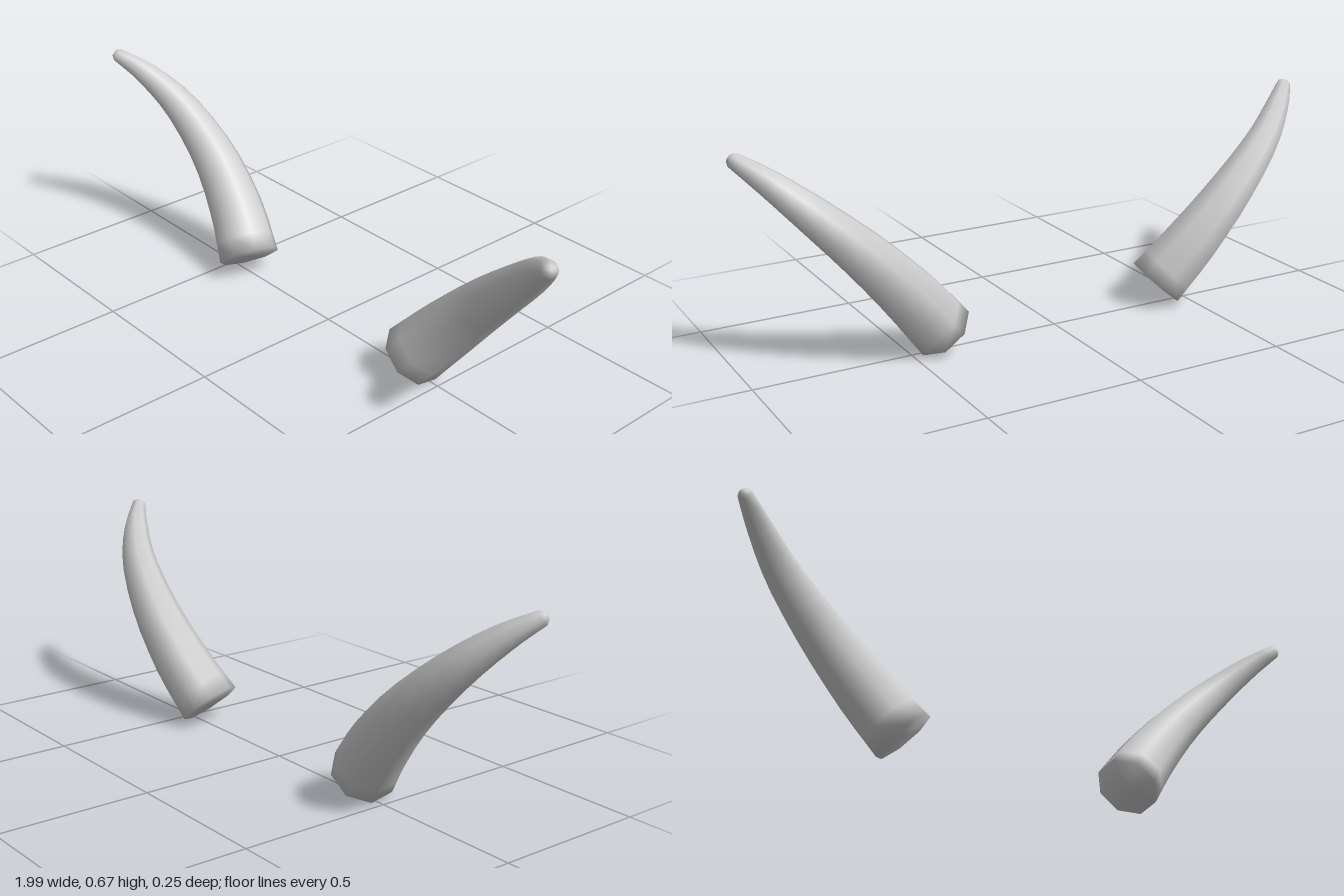
import * as THREE from 'three';

const SIDES = 8;
const RINGS = 14;

// Spine of the left horn: x, y, z, radius
const SPINE = [
  [0.398, 0.070, 0.010, 0.103],
  [0.505, 0.198, -0.025, 0.094],
  [0.645, 0.352, -0.038, 0.078],
  [0.798, 0.502, -0.008, 0.058],
  [0.905, 0.600, 0.052, 0.040],
  [0.976, 0.656, 0.109, 0.024],
];

// Tapered curved horn with closed ends; side is +1 (left) or -1 (right)
function hornGeometry(side) {
  const curve = new THREE.CatmullRomCurve3(SPINE.map(([x, y, z]) => new THREE.Vector3(x, y, z)));
  const positions = [];
  const index = [];
  const add = (p) => positions.push(p.x * side, p.y, p.z);
  const face = (a, b, c) => (side > 0 ? index.push(a, b, c) : index.push(a, c, b));

  const addRing = (centre, tangent, radius) => {
    const v = new THREE.Vector3(0, 0, 1).addScaledVector(tangent, -tangent.z).normalize();
    const u = tangent.clone().cross(v);
    for (let j = 0; j < SIDES; j++) {
      const a = THREE.MathUtils.degToRad(-17) + (j / SIDES) * Math.PI * 2;
      add(centre.clone().addScaledVector(u, radius * Math.cos(a)).addScaledVector(v, radius * Math.sin(a)));
    }
  };

  // Rings along the spine
  for (let i = 0; i <= RINGS; i++) {
    const t = i / RINGS;
    const s = t * (SPINE.length - 1);
    const k = Math.min(Math.floor(s), SPINE.length - 2);
    const radius = THREE.MathUtils.lerp(SPINE[k][3], SPINE[k + 1][3], s - k);
    addRing(curve.getPoint(t), curve.getTangent(t), radius);
  }

  // Small rounded tip
  const end = curve.getPoint(1);
  const dir = curve.getTangent(1);
  addRing(end.clone().addScaledVector(dir, 0.013), dir, 0.013);

  // Walls
  const last = RINGS + 1;
  for (let i = 0; i < last; i++) {
    for (let j = 0; j < SIDES; j++) {
      const n = (j + 1) % SIDES;
      const a = i * SIDES + j, b = i * SIDES + n;
      const c = a + SIDES, d = b + SIDES;
      face(a, c, b);
      face(b, c, d);
    }
  }

  // End caps share the rim vertices, so the shading rolls over the edge
  const base = (last + 1) * SIDES;
  add(curve.getPoint(0));
  add(end.clone().addScaledVector(dir, 0.014));
  for (let j = 0; j < SIDES; j++) {
    const n = (j + 1) % SIDES;
    face(base, j, n);
    face(base + 1, last * SIDES + n, last * SIDES + j);
  }

  const geometry = new THREE.BufferGeometry();
  geometry.setAttribute('position', new THREE.Float32BufferAttribute(positions, 3));
  geometry.setIndex(index);
  geometry.computeVertexNormals();
  return geometry;
}

export function createModel() {
  const group = new THREE.Group();
  group.name = 'hornPair';
  const horn = new THREE.MeshStandardMaterial({ color: 0xcccccc });
  horn.name = 'paleGrey';

  for (const [name, side] of [['leftHorn', 1], ['rightHorn', -1]]) {
    const mesh = new THREE.Mesh(hornGeometry(side), horn);
    mesh.name = name;
    group.add(mesh);
  }
  return group;
}
